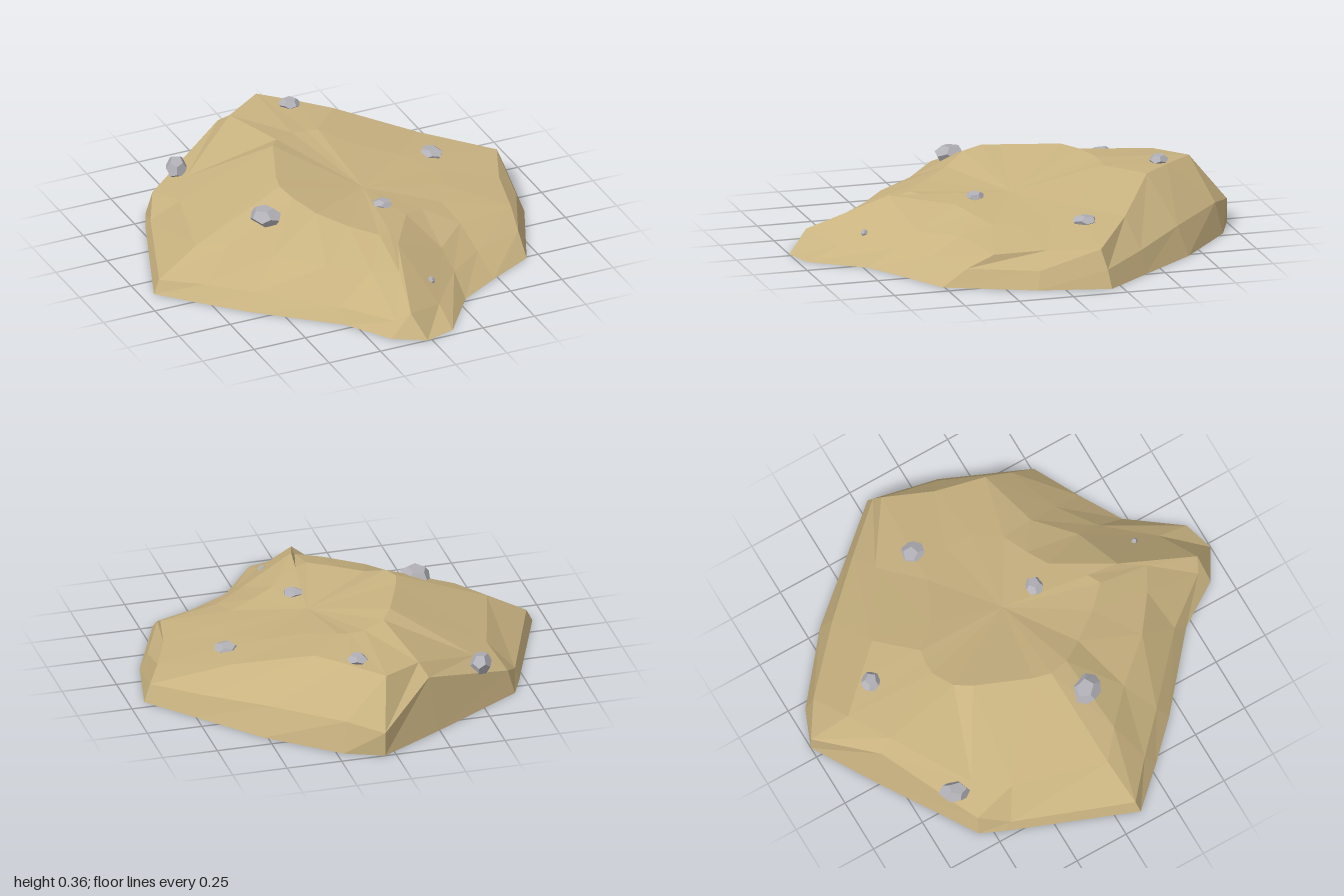
import * as THREE from 'three';

const sandstone = new THREE.MeshStandardMaterial({ name: 'sandstone', color: 0xc8b280, flatShading: true });
const greyStone = new THREE.MeshStandardMaterial({ name: 'greyStone', color: 0xb0b0b6, flatShading: true });

// Cross-section loops of the outcrop as [x, y, z], from the back round to the right, front and left
const foot = [
  [0.05, -1], [0.22, -0.93], [0.52, -0.68], [0.75, -0.41], [0.93, -0.2], [0.86, 0.12], [0.69, 0.51],
  [0.48, 0.62], [0.29, 0.73], [0.12, 0.96], [-0.02, 1], [-0.16, 0.92], [-0.29, 0.72], [-0.62, 0.44],
  [-0.78, 0.28], [-0.94, 0.11], [-0.72, -0.45], [-0.67, -0.56], [-0.24, -0.83],
].map(([x, z]) => [x, 0, z]);

const lip = [
  [0.05, 0.11, -1], [0.2, 0.14, -0.9], [0.48, 0.13, -0.64], [0.71, 0.1, -0.4], [0.9, 0.08, -0.19],
  [0.83, 0.08, 0.1], [0.7, 0.08, 0.4], [0.46, 0.08, 0.49], [0.29, 0.08, 0.61], [0.12, 0.06, 0.82],
  [-0.06, 0.1, 0.91], [-0.12, 0.06, 0.88], [-0.29, 0.06, 0.66], [-0.58, 0.07, 0.4], [-0.75, 0.07, 0.24],
  [-0.91, 0.06, 0.1], [-0.71, 0.05, -0.42], [-0.64, 0.11, -0.55], [-0.21, 0.25, -0.79],
];

const shoulder = [
  [0, 0.31, -0.84], [0.13, 0.315, -0.7], [0.25, 0.315, -0.57], [0.57, 0.22, -0.37], [0.86, 0.165, -0.17],
  [0.77, 0.155, 0.05], [0.72, 0.14, 0.28], [0.44, 0.155, 0.35], [0.28, 0.145, 0.5], [0.04, 0.25, 0.56],
  [-0.01, 0.18, 0.68], [-0.12, 0.18, 0.62], [-0.28, 0.18, 0.5], [-0.45, 0.18, 0.31], [-0.6, 0.2, 0.17],
  [-0.72, 0.17, 0.07], [-0.6, 0.16, -0.35], [-0.5, 0.18, -0.5], [-0.18, 0.3, -0.73],
];

const crest = [
  [0.05, 0.325, -0.42], [0.1, 0.325, -0.41], [0.2, 0.29, -0.3], [0.4, 0.235, -0.2], [0.5, 0.205, -0.05],
  [0.5, 0.195, 0.08], [0.42, 0.19, 0.2], [0.3, 0.21, 0.25], [0.2, 0.23, 0.3], [0.06, 0.25, 0.42],
  [0, 0.25, 0.45], [-0.1, 0.265, 0.35], [-0.2, 0.29, 0.22], [-0.27, 0.335, 0.12], [-0.29, 0.35, 0.03],
  [-0.27, 0.35, -0.05], [-0.17, 0.36, -0.3], [-0.12, 0.345, -0.37], [-0.02, 0.33, -0.42],
];

// Joins the loops with triangles and closes the hollow on top and the flat underside
function outcropGeometry() {
  const loops = [foot, lip, shoulder, crest];
  const n = foot.length;
  const points = [...loops.flat(), [0.12, 0.245, 0.02], [0, 0, 0]];
  const top = n * loops.length;
  const bottom = top + 1;
  const index = [];
  for (let i = 0; i < n; i++) {
    const j = (i + 1) % n;
    for (let r = 0; r < loops.length - 1; r++) {
      const o = r * n, c = o + n;
      index.push(o + i, c + i, o + j, o + j, c + i, c + j);
    }
    index.push(top, top - n + j, top - n + i);
    index.push(bottom, i, j);
  }
  const geometry = new THREE.BufferGeometry();
  geometry.setAttribute('position', new THREE.Float32BufferAttribute(points.flat(), 3));
  geometry.setIndex(index);
  const flat = geometry.toNonIndexed();
  flat.computeVertexNormals();
  return flat;
}

// A faceted pebble, squashed to the given size and turned about y
function pebble(name, [x, y, z], [w, h, d], turn) {
  const geometry = new THREE.DodecahedronGeometry(0.54, 0);
  geometry.rotateX(turn * 0.7).scale(w, h, d).rotateY(turn);
  geometry.computeVertexNormals();
  const mesh = new THREE.Mesh(geometry, greyStone);
  mesh.name = name;
  mesh.position.set(x, y, z);
  return mesh;
}

export function createModel() {
  const group = new THREE.Group();
  group.name = 'rockOutcrop';
  const rock = new THREE.Mesh(outcropGeometry(), sandstone);
  rock.name = 'outcrop';
  group.add(rock);

  // Loose pebbles: position, size, turn
  const pebbles = [
    [[-0.41, 0.285, 0.14], [0.12, 0.08, 0.14], 0.5],
    [[-0.505, 0.185, -0.59], [0.09, 0.09, 0.13], -0.4],
    [[0.085, 0.325, -0.675], [0.08, 0.05, 0.09], 0.9],
    [[0.55, 0.21, -0.19], [0.1, 0.05, 0.11], 0.3],
    [[0.135, 0.245, 0.19], [0.075, 0.04, 0.09], 1.3],
    [[0.135, 0.115, 0.7], [0.03, 0.035, 0.035], 0.7],
  ];
  pebbles.forEach(([position, size, turn], i) => group.add(pebble(`pebble${i + 1}`, position, size, turn)));
  return group;
}
